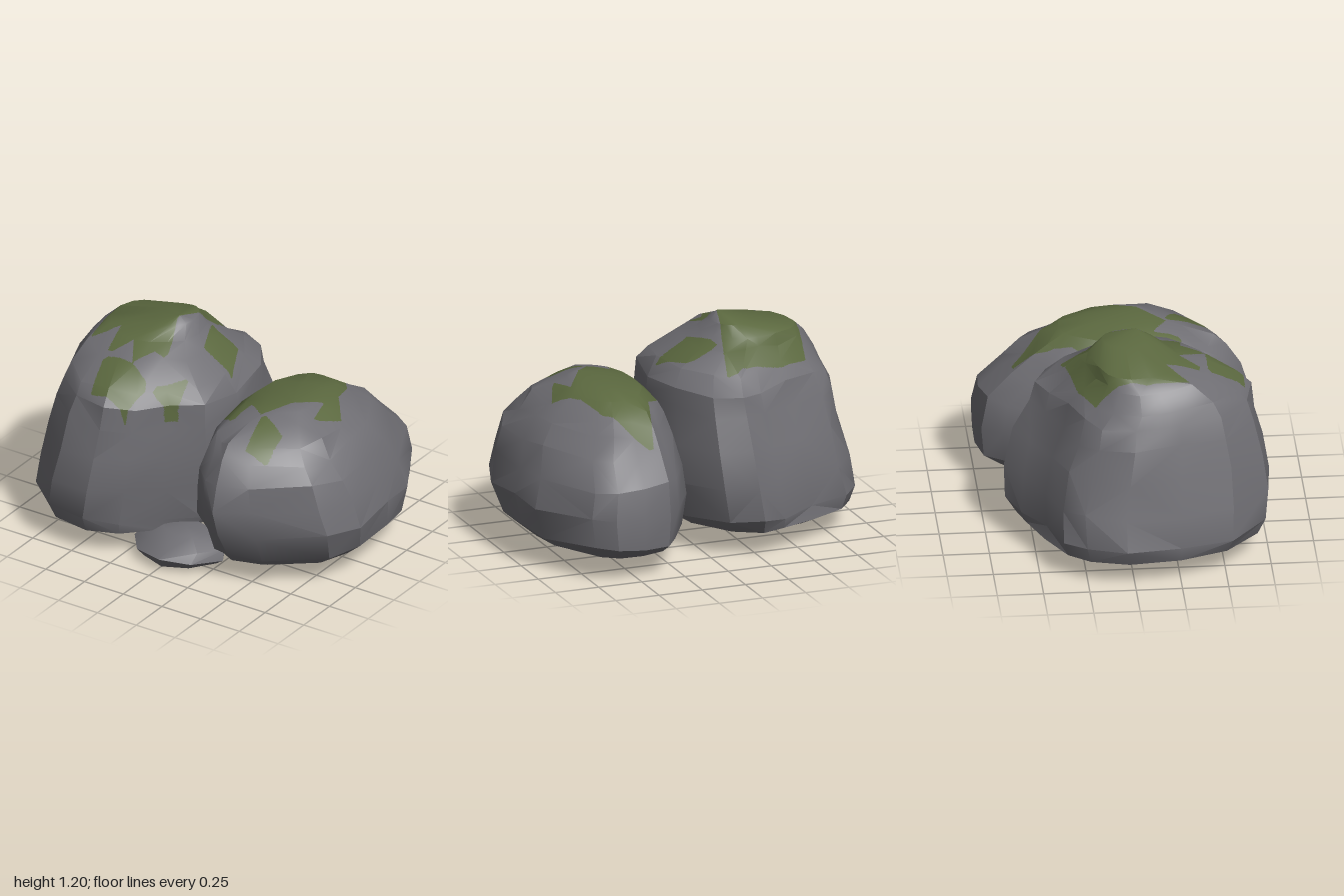
import * as THREE from 'three';
import { toCreasedNormals } from 'three/addons/utils/BufferGeometryUtils.js';

const stone = new THREE.MeshStandardMaterial({ color: 0x6f6e73 });
stone.name = 'stone grey';
const moss = new THREE.MeshStandardMaterial({ color: 0x5b683f });
moss.name = 'moss green';

function seeded(seed) {
  return () => ((seed = (seed * 16807) % 2147483647) / 2147483647);
}

// Is (x, z) inside a polygon seen from above?
function inside(x, z, poly) {
  let hit = false;
  for (let i = 0, j = poly.length - 1; i < poly.length; j = i++) {
    const [ax, az] = poly[i], [bx, bz] = poly[j];
    if ((az > z) !== (bz > z) && x < ((bx - ax) * (z - az)) / (bz - az) + ax) hit = !hit;
  }
  return hit;
}

// Loft one outline through levels [y, xMin, xMax, zMin, zMax, roundness], closed by an apex and a flat base
function loftRock(outline, levels, apex, jitter, seed) {
  const rand = seeded(seed);
  const xs = outline.map((p) => p[0]), zs = outline.map((p) => p[1]);
  const x0 = Math.min(...xs), x1 = Math.max(...xs), z0 = Math.min(...zs), z1 = Math.max(...zs);
  const n = outline.length, pos = [], idx = [];
  levels.forEach(([y, a, b, c, d, round], k) => {
    const amount = k < 2 || k > levels.length - 3 ? 0 : jitter;
    for (const [x, z] of outline) {
      const u = (2 * (x - x0)) / (x1 - x0) - 1, v = (2 * (z - z0)) / (z1 - z0) - 1;
      const s = (1 - round + round / Math.hypot(u, v)) * (1 + amount * (rand() - 0.6));
      pos.push((a + b) / 2 + (u * s * (b - a)) / 2, y + (rand() - 0.5) * amount,
        (c + d) / 2 + (v * s * (d - c)) / 2);
    }
  });
  const top = levels.length * n, last = top - n;
  pos.push(...apex);
  const [by, ba, bb, bc, bd] = levels[0];
  pos.push((ba + bb) / 2, by - 0.005, (bc + bd) / 2);
  for (let i = 0; i < n; i++) {
    const j = (i + 1) % n;
    for (let k = 0; k < levels.length - 1; k++) {
      const la = k * n + i, lb = k * n + j, ua = la + n, ub = lb + n;
      if (rand() < 0.5) idx.push(la, ua, lb, lb, ua, ub);
      else idx.push(la, ua, ub, la, ub, lb);
    }
    idx.push(last + i, top, last + j, top + 1, i, j);
  }
  const geo = new THREE.BufferGeometry();
  geo.setAttribute('position', new THREE.Float32BufferAttribute(pos, 3));
  geo.setIndex(idx);
  return toCreasedNormals(geo, 0.5);
}

// Split the faces, finest along the moss edges, and give those under the moss outlines the second material
function addMoss(geo, patches, minY) {
  const P = geo.attributes.position, N = geo.attributes.normal;
  const sides = [{ p: [], n: [] }, { p: [], n: [] }];
  const mossy = (p) => p.y > minY && patches.some((q) => inside(p.x, p.z, q));
  const mid = (a, b) => ({
    p: a.p.clone().lerp(b.p, 0.5), n: a.n.clone().lerp(b.n, 0.5).normalize(),
  });
  const split = (a, b, c, depth) => {
    const hits = [a, b, c].filter((v) => mossy(v.p)).length;
    if (depth > 3 || (depth > 0 && hits % 3 > 0)) {
      const ab = mid(a, b), bc = mid(b, c), ca = mid(c, a);
      split(a, ab, ca, depth - 1);
      split(ab, b, bc, depth - 1);
      split(ca, bc, c, depth - 1);
      split(ab, bc, ca, depth - 1);
      return;
    }
    const side = sides[hits > 1 ? 1 : 0];
    for (const v of [a, b, c]) {
      side.p.push(v.p.x, v.p.y, v.p.z);
      side.n.push(v.n.x, v.n.y, v.n.z);
    }
  };
  for (let i = 0; i < P.count; i += 3) {
    const [a, b, c] = [0, 1, 2].map((k) => ({
      p: new THREE.Vector3().fromBufferAttribute(P, i + k),
      n: new THREE.Vector3().fromBufferAttribute(N, i + k),
    }));
    split(a, b, c, Math.max(a.p.y, b.p.y, c.p.y) > minY ? 5 : 0);
  }
  const out = new THREE.BufferGeometry();
  out.setAttribute('position', new THREE.Float32BufferAttribute([...sides[0].p, ...sides[1].p], 3));
  out.setAttribute('normal', new THREE.Float32BufferAttribute([...sides[0].n, ...sides[1].n], 3));
  const count = sides[0].p.length / 3;
  out.addGroup(0, count, 0);
  out.addGroup(count, sides[1].p.length / 3, 1);
  return out;
}

export function createModel() {
  const group = new THREE.Group();
  group.name = 'mossyRocks';
  const add = (name, geo, material) => {
    const mesh = new THREE.Mesh(geo, material);
    mesh.name = name;
    group.add(mesh);
  };

  // Tall boulder
  const tall = loftRock(
    [[0.13, 0.05], [0.09, 0.36], [-0.09, 0.5], [-0.24, 0.67], [-0.42, 0.755], [-0.66, 0.73],
      [-0.87, 0.53], [-0.96, 0.25], [-1, -0.05], [-0.94, -0.27], [-0.83, -0.38], [-0.6, -0.45],
      [-0.4, -0.56], [-0.25, -0.66], [-0.08, -0.57], [0.08, -0.32]],
    [[0.1, -0.83, 0, -0.48, 0.6, 0.7], [0.135, -0.96, 0.08, -0.6, 0.72, 0.4],
      [0.21, -1, 0.12, -0.65, 0.755, 0.1], [0.4, -0.96, 0.15, -0.66, 0.76, 0],
      [0.6, -0.91, 0.15, -0.6, 0.74, 0.05], [0.77, -0.88, 0.14, -0.52, 0.7, 0.1],
      [0.88, -0.84, 0.13, -0.48, 0.67, 0.1], [0.96, -0.81, 0.07, -0.37, 0.6, 0.1],
      [1.06, -0.75, -0.07, -0.26, 0.44, 0.2], [1.11, -0.68, -0.15, -0.21, 0.28, 0.5],
      [1.17, -0.42, -0.2, -0.13, 0.15, 0.8]],
    [-0.26, 1.205, 0.06], 0.04, 71);
  add('tallBoulder', addMoss(tall, [
    [[-0.67, -0.19], [-0.5, -0.27], [-0.16, -0.34], [-0.2, -0.17], [-0.26, 0.08], [-0.18, 0.31],
      [-0.26, 0.3], [-0.32, 0.43], [-0.41, 0.28], [-0.5, 0.43], [-0.54, 0.2], [-0.66, 0.32],
      [-0.7, 0.08]],
    [[-0.5, 0.43], [-0.33, 0.43], [-0.21, 0.46], [-0.19, 0.5], [-0.23, 0.635], [-0.45, 0.635]],
    [[-0.19, 0.47], [-0.03, 0.31], [-0.01, 0.5]],
    [[-0.18, -0.14], [-0.01, -0.14], [0.09, 0.08], [-0.09, 0.08]],
  ], 0.8), [stone, moss]);

  // Low boulder
  const low = loftRock(
    [[1, 0.2], [0.92, 0.41], [0.6, 0.62], [0.41, 0.71], [0.3, 0.66], [0.19, 0.55], [0.1, 0.3],
      [0.08, 0], [0.1, -0.35], [0.24, -0.62], [0.33, -0.72], [0.49, -0.76], [0.65, -0.76],
      [0.76, -0.68], [0.95, -0.33], [0.98, -0.1]],
    [[0.085, 0.22, 0.8, -0.5, 0.45, 0.6], [0.115, 0.12, 0.87, -0.66, 0.54, 0.3],
      [0.18, 0.09, 0.96, -0.74, 0.6, 0.1], [0.35, 0.07, 1, -0.755, 0.7, 0],
      [0.51, 0.08, 0.96, -0.73, 0.72, 0], [0.64, 0.1, 0.91, -0.6, 0.69, 0.1],
      [0.74, 0.12, 0.83, -0.5, 0.62, 0.2], [0.81, 0.15, 0.76, -0.41, 0.54, 0.3],
      [0.88, 0.23, 0.66, -0.3, 0.37, 0.5], [0.91, 0.34, 0.6, -0.15, 0.24, 0.8]],
    [0.52, 0.935, 0.13], 0.04, 137);
  add('lowBoulder', addMoss(low, [
    [[0.36, -0.58], [0.57, -0.32], [0.62, -0.16], [0.73, -0.02], [0.66, 0.15], [0.62, -0.02],
      [0.41, 0.28], [0.3, 0.2], [0.28, 0.37], [0.17, 0.28], [0.14, -0.11], [0.26, -0.24]],
    [[0.42, 0.27], [0.59, 0.34], [0.6, 0.51], [0.47, 0.52]],
  ], 0.55), [stone, moss]);

  // Small flat stone in front
  add('smallStone', loftRock(
    [[0.3, 0.48], [0.19, 0.62], [0.03, 0.69], [-0.15, 0.63], [-0.26, 0.5], [-0.2, 0.35],
      [0, 0.27], [0.22, 0.32]],
    [[0.007, -0.19, 0.2, 0.3, 0.62, 0], [0.015, -0.23, 0.24, 0.27, 0.65, 0],
      [0.065, -0.26, 0.3, 0.27, 0.7, 0], [0.12, -0.21, 0.3, 0.29, 0.64, 0],
      [0.17, -0.1, 0.18, 0.35, 0.55, 0]],
    [0.04, 0.18, 0.45], 0.04, 29), stone);

  return group;
}
